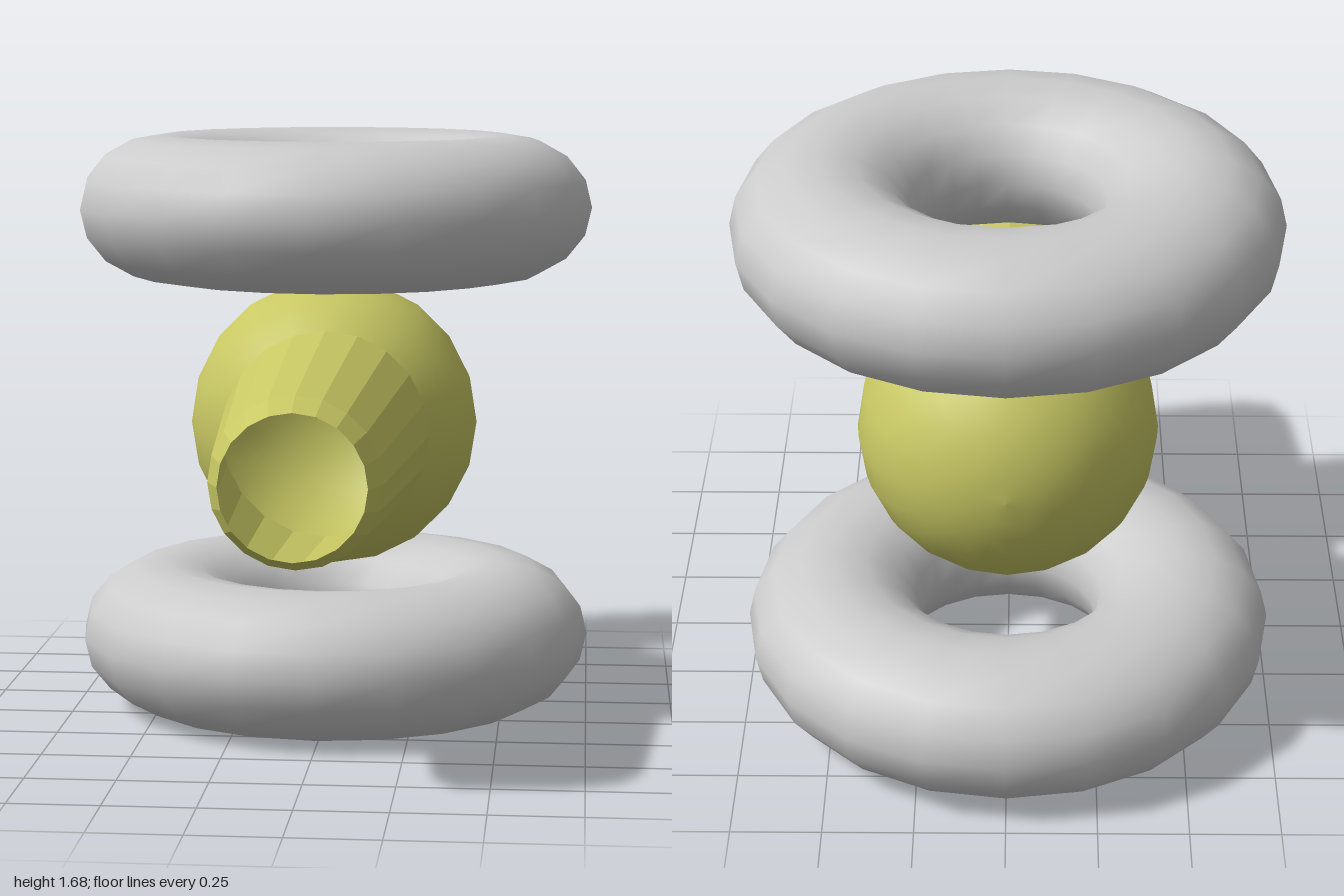
import * as THREE from 'three';

const SIDES = 20;
const AXIS_Z = -0.25;
const BALL = { r: 0.42, y: 0.84, z: -0.24 };

export function createModel() {
  const model = new THREE.Group();
  model.name = 'ringsAndBarrel';

  const grey = new THREE.MeshStandardMaterial({ color: 0xcccccc });
  const yellow = new THREE.MeshStandardMaterial({ color: 0xc8c864, side: THREE.DoubleSide });
  const yellowFlat = yellow.clone();
  yellowFlat.flatShading = true;

  const add = (name, geometry, material, x, y, z) => {
    const mesh = new THREE.Mesh(geometry, material);
    mesh.name = name;
    mesh.position.set(x, y, z);
    model.add(mesh);
  };

  // Turned profile of [radius, z] pairs, running along the z axis
  const turned = (points) =>
    new THREE.LatheGeometry(points.map(([r, z]) => new THREE.Vector2(r, z)), SIDES).rotateX(Math.PI / 2);

  // Two slightly flattened rings, below and above the ball
  const ring = new THREE.TorusGeometry(0.5, 0.25, 16, SIDES).rotateX(Math.PI / 2).scale(1, 0.84, 1);
  add('lowerRing', ring, grey, 0, 0.21, AXIS_Z);
  add('upperRing', ring, grey, 0, 1.47, AXIS_Z);

  // Hollow ball, open at the front where the barrel joins
  const arc = [];
  for (let i = 0; i <= 15; i++) {
    const a = (i / 15) * Math.PI * 0.75;
    arc.push([BALL.r * Math.sin(a), -BALL.r * Math.cos(a)]);
  }
  add('ball', turned(arc), yellow, 0, BALL.y, BALL.z);

  // Tapered, faceted open barrel with a bevelled mouth
  const joint = BALL.r * Math.SQRT1_2;
  const barrel = turned([[joint, BALL.z + joint], [0.227, 0.92], [0.193, 1]]);
  add('barrel', barrel, yellowFlat, 0, BALL.y, 0);

  return model;
}
